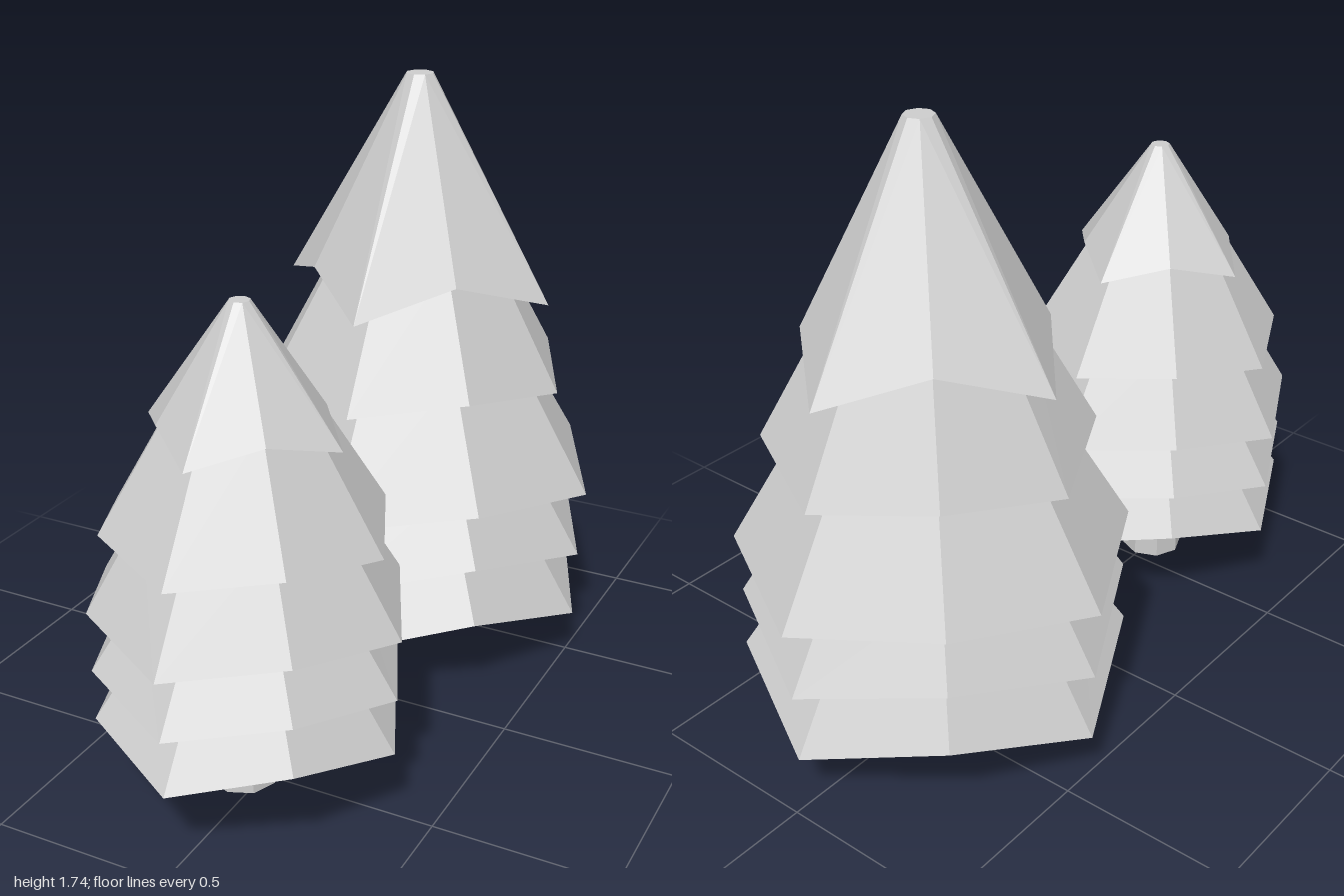
import * as THREE from 'three';

const grey = new THREE.MeshStandardMaterial({ color: 0xcccccc, side: THREE.DoubleSide });
grey.name = 'plain grey';

// One eight-sided skirt of branches: long drooping corners on the axes,
// shorter raised corners on the diagonals. d values are x/z offsets.
function makeTier([topY, topR, topD, r, y, d, dy]) {
  const ring = (axisR, axisY, diag, diagY) =>
    Array.from({ length: 8 }, (_, i) => {
      const a = (i * Math.PI) / 4;
      const radius = i % 2 ? diag * Math.SQRT2 : axisR;
      return [Math.sin(a) * radius, i % 2 ? diagY : axisY, Math.cos(a) * radius];
    });
  const rim = ring(r, y, d, dy);
  const top = ring(topR, topY, topD, topY);
  const crown = [0, topY, 0];
  const p = [];
  for (let i = 0; i < 8; i++) {
    const j = (i + 1) % 8;
    // side panel, split alike on both sides of a corner
    if (i % 2) p.push(...rim[i], ...rim[j], ...top[i], ...rim[j], ...top[j], ...top[i]);
    else p.push(...rim[i], ...rim[j], ...top[j], ...rim[i], ...top[j], ...top[i]);
    p.push(...crown, ...top[i], ...top[j]);
    // underside of each drooping corner
    if (i % 2) p.push(...rim[i], ...rim[(i + 2) % 8], ...rim[j]);
  }
  // level square underside between the raised corners
  p.push(...rim[1], ...rim[7], ...rim[5], ...rim[1], ...rim[5], ...rim[3]);
  const g = new THREE.BufferGeometry();
  g.setAttribute('position', new THREE.Float32BufferAttribute(p, 3));
  g.computeVertexNormals();
  return g;
}

function makeTree(name, z, trunkBase, tiers) {
  const tree = new THREE.Group();
  tree.name = name;
  tree.position.z = z;

  // Open eight-sided trunk, slightly off centre
  const h = 0.27;
  const trunkShape = new THREE.CylinderGeometry(0.092, 0.092, h, 8, 1, true).toNonIndexed();
  trunkShape.computeVertexNormals();
  const trunk = new THREE.Mesh(trunkShape, grey);
  trunk.name = 'trunk';
  trunk.position.set(-0.023, trunkBase + h / 2, 0);
  tree.add(trunk);

  // Stacked branch tiers, from the tip down
  tiers.forEach((t, i) => {
    const tier = new THREE.Mesh(makeTier(t), grey);
    tier.name = `branchTier${i + 1}`;
    tree.add(tier);
  });
  return tree;
}

export function createModel() {
  const model = new THREE.Group();
  model.name = 'pineTrees';
  // Each tier: topY, topR, topD, rim r, rim y, diagonal d, diagonal y
  model.add(
    makeTree('tallTree', -0.443, 0, [
      [1.74, 0.04, 0.028, 0.41, 1.12, 0.22, 1.205],
      [1.25, 0.235, 0.169, 0.45, 0.86, 0.305, 0.905],
      [0.95, 0.321, 0.225, 0.555, 0.56, 0.37, 0.605],
      [0.65, 0.36, 0.265, 0.54, 0.36, 0.363, 0.435],
      [0.45, 0.355, 0.275, 0.535, 0.16, 0.367, 0.26],
    ]),
    makeTree('shortTree', 0.563, 0.035, [
      [1.38, 0.027, 0.019, 0.275, 1.04, 0.152, 1.085],
      [1.12, 0.181, 0.13, 0.385, 0.78, 0.262, 0.815],
      [0.86, 0.258, 0.183, 0.435, 0.565, 0.291, 0.605],
      [0.64, 0.266, 0.193, 0.425, 0.395, 0.288, 0.44],
      [0.47, 0.267, 0.203, 0.42, 0.235, 0.287, 0.3],
    ])
  );
  return model;
}
